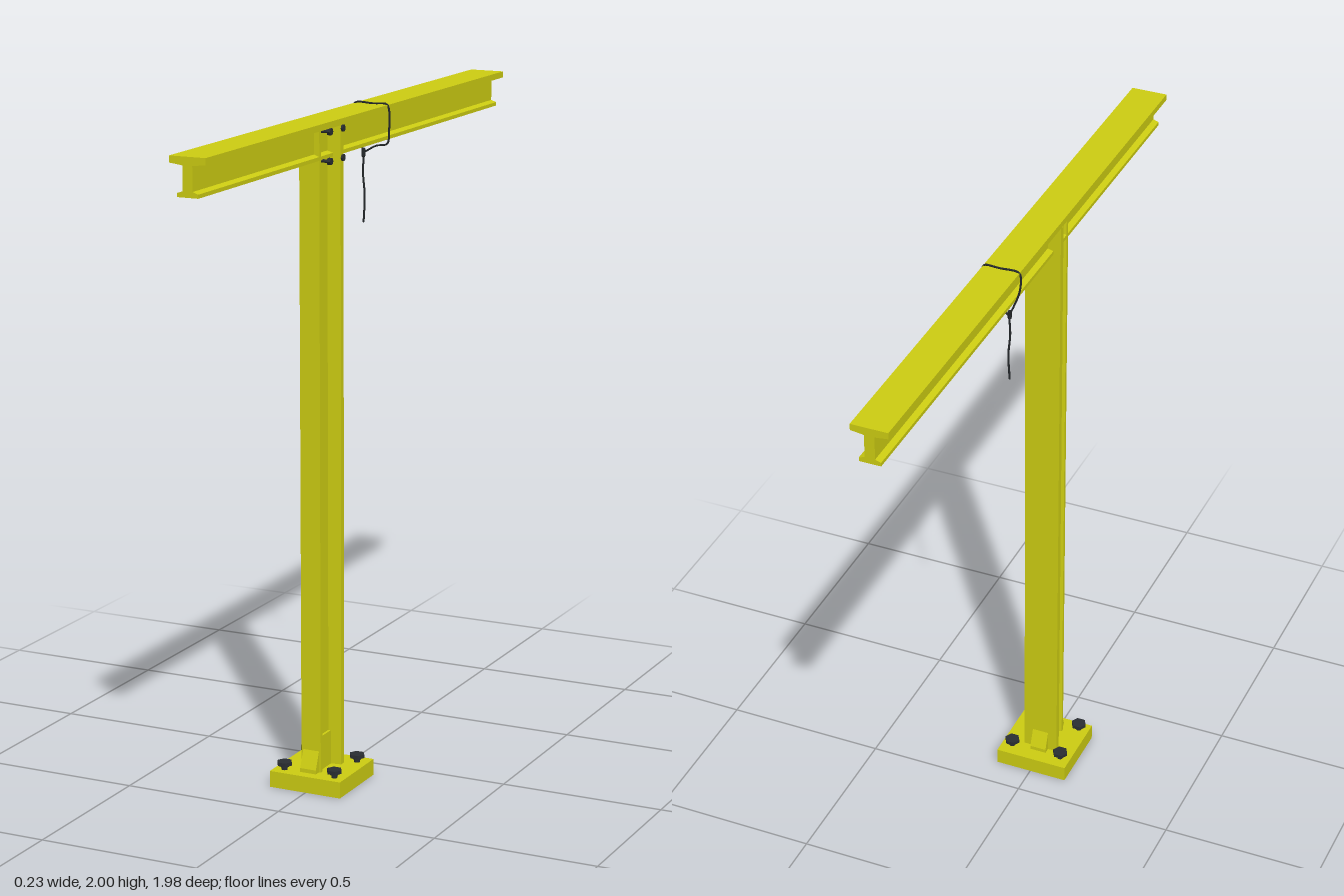
import * as THREE from 'three';

const CX = -0.007; // centre line of the steel sections
const PZ = 0.217;  // centre of the post in z

export function createModel() {
  const model = new THREE.Group();
  const yellow = new THREE.MeshStandardMaterial({ color: 0xcdcd12, flatShading: true });
  const dark = new THREE.MeshStandardMaterial({ color: 0x2a2e32, flatShading: true });
  const ropeMat = new THREE.MeshStandardMaterial({ color: 0x24282b });

  const add = (name, geometry, material, x = 0, y = 0, z = 0, parent = model) => {
    const mesh = new THREE.Mesh(geometry, material);
    mesh.name = name;
    mesh.position.set(x, y, z);
    parent.add(mesh);
    return mesh;
  };

  // I-section with one narrow thin flange (v = 0) and one wide thick flange (v = 0.11)
  const section = (length) => {
    const half = [[0.032, 0], [0.032, 0.011], [0.015, 0.017], [0.015, 0.086], [0.055, 0.091], [0.055, 0.11]];
    const pts = half.concat(half.map(([u, v]) => [-u, v]).reverse());
    const shape = new THREE.Shape(pts.map(([u, v]) => new THREE.Vector2(u, v)));
    return new THREE.ExtrudeGeometry(shape, { depth: length, bevelEnabled: false });
  };

  // Horizontal beam and upright post share the section
  add('beam', section(1.98), yellow, CX, 1.885, -0.99);
  add('post', section(1.925).rotateX(-Math.PI / 2), yellow, CX, 0.05, 0.272);

  // Base plate and packing between the post flanges
  add('basePlate', new THREE.BoxGeometry(0.232, 0.05, 0.23), yellow, -0.002, 0.025, 0.21);
  add('postFootPacking', new THREE.BoxGeometry(0.046, 0.105, 0.08), yellow, CX, 0.1025, 0.222);

  // Wedge gussets in front of and behind the post
  const gusset = () => {
    const s = new THREE.Shape();
    s.moveTo(0, 0);
    s.lineTo(0.022, 0);
    s.lineTo(0.022, 0.012);
    s.lineTo(0, 0.068);
    return new THREE.ExtrudeGeometry(s, { depth: 0.052, bevelEnabled: false })
      .translate(0, 0, -0.026).rotateY(-Math.PI / 2);
  };
  add('frontGusset', gusset(), yellow, CX, 0.05, 0.271);
  add('backGusset', gusset().rotateY(Math.PI), yellow, CX, 0.05, 0.163);

  // Anchor bolts: shank, nut and wide hexagonal head
  for (const x of [-0.085, 0.08]) {
    for (const z of [0.138, 0.293]) {
      const bolt = new THREE.Group();
      bolt.name = 'anchorBolt';
      bolt.position.set(x, 0.05, z);
      add('shank', new THREE.CylinderGeometry(0.009, 0.009, 0.02, 12), dark, 0, 0.008, 0, bolt);
      add('nut', new THREE.CylinderGeometry(0.013, 0.013, 0.008, 6), dark, 0, 0.012, 0, bolt);
      add('head', new THREE.CylinderGeometry(0.024, 0.024, 0.011, 6).rotateY(Math.PI / 6), dark, 0, 0.0205, 0, bolt);
      model.add(bolt);
    }
  }

  // Bolts that fix the beam to the post
  for (const y of [1.882, 1.967]) {
    for (const z of [0.17, 0.25]) {
      const bolt = new THREE.Group();
      bolt.name = 'beamBolt';
      bolt.position.set(0, y, z);
      add('shank', new THREE.CylinderGeometry(0.005, 0.005, 0.045, 10).rotateZ(Math.PI / 2), dark, 0.026, 0, 0, bolt);
      add('head', new THREE.CylinderGeometry(0.011, 0.011, 0.011, 6).rotateZ(Math.PI / 2), dark, 0.048, 0, 0, bolt);
      model.add(bolt);
    }
  }

  // Thin rope: loop over the beam, knot and hanging tail
  const rope = (name, points, radius) => {
    const curve = new THREE.CatmullRomCurve3(points.map((p) => new THREE.Vector3(...p)), false, 'centripetal');
    add(name, new THREE.TubeGeometry(curve, 60, radius, 6), ropeMat);
  };
  const rz = -0.135;
  rope('ropeLoop', [
    [-0.03, 1.85, rz], [-0.045, 1.885, rz], [-0.062, 1.935, rz], [-0.065, 1.985, rz], [-0.058, 1.997, rz],
    [0, 1.997, rz], [0.044, 1.997, rz], [0.051, 1.985, rz], [0.052, 1.92, rz], [0.046, 1.88, rz],
    [0.01, 1.872, rz], [-0.03, 1.85, rz],
  ], 0.003);
  add('ropeKnot', new THREE.CapsuleGeometry(0.006, 0.018, 4, 10), ropeMat, -0.03, 1.85, rz + 0.004);
  rope('ropeTail', [
    [-0.03, 1.85, rz], [-0.034, 1.79, rz - 0.002], [-0.028, 1.72, rz - 0.001], [-0.032, 1.64, rz - 0.002],
  ], 0.003);

  return model;
}
